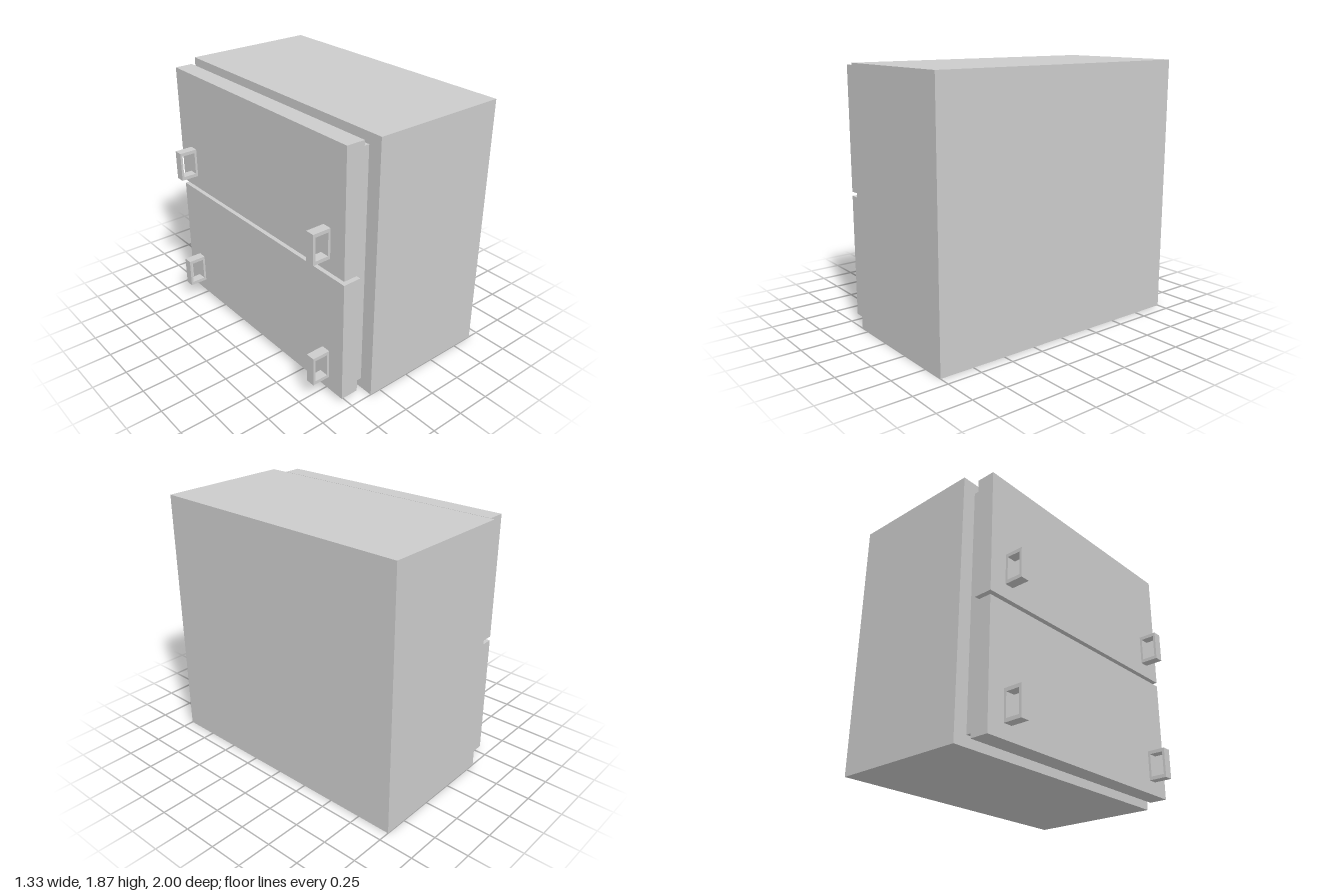
import * as THREE from 'three';

const material = new THREE.MeshStandardMaterial({ color: 0xcccccc, flatShading: true });

// Box given by its limits in x and y, and its full depth centred on z = 0
function slab(name, x0, x1, y0, y1, depth) {
  const mesh = new THREE.Mesh(new THREE.BoxGeometry(x1 - x0, y1 - y0, depth), material);
  mesh.position.set((x0 + x1) / 2, (y0 + y1) / 2, 0);
  mesh.name = name;
  return mesh;
}

function rectangle(path, x0, x1, y0, y1) {
  path.moveTo(x0, y0);
  path.lineTo(x1, y0);
  path.lineTo(x1, y1);
  path.lineTo(x0, y1);
  path.closePath();
  return path;
}

export function createModel() {
  const model = new THREE.Group();
  model.name = 'cabinet';

  // Main body and the recessed neck behind the fronts
  model.add(slab('body', -0.333, 0.667, 0, 1.867, 2));
  model.add(slab('recess', -0.4, -0.333, 0.077, 1.79, 1.8));

  // Rectangular loop handle, extruded along z
  const outline = rectangle(new THREE.Shape(), -0.667, -0.533, -0.108, 0.108);
  outline.holes.push(rectangle(new THREE.Path(), -0.65, -0.55, -0.083, 0.083));
  const width = 0.067;
  const handleGeometry = new THREE.ExtrudeGeometry(outline, { depth: width, bevelEnabled: false });
  handleGeometry.translate(0, 0, -width / 2);

  // Two drawer fronts, each with a pair of handles
  for (const [name, y0, y1, handleY] of [
    ['lowerDrawer', 0.03, 0.922, 0.237],
    ['upperDrawer', 0.952, 1.845, 1.16],
  ]) {
    const drawer = new THREE.Group();
    drawer.name = name;
    drawer.add(slab('drawerFront', -0.533, -0.4, y0, y1, 1.867));
    for (const side of [-1, 1]) {
      const handle = new THREE.Mesh(handleGeometry, material);
      handle.name = 'handle';
      handle.position.set(0, handleY, side * 0.767);
      drawer.add(handle);
    }
    model.add(drawer);
  }
  return model;
}
